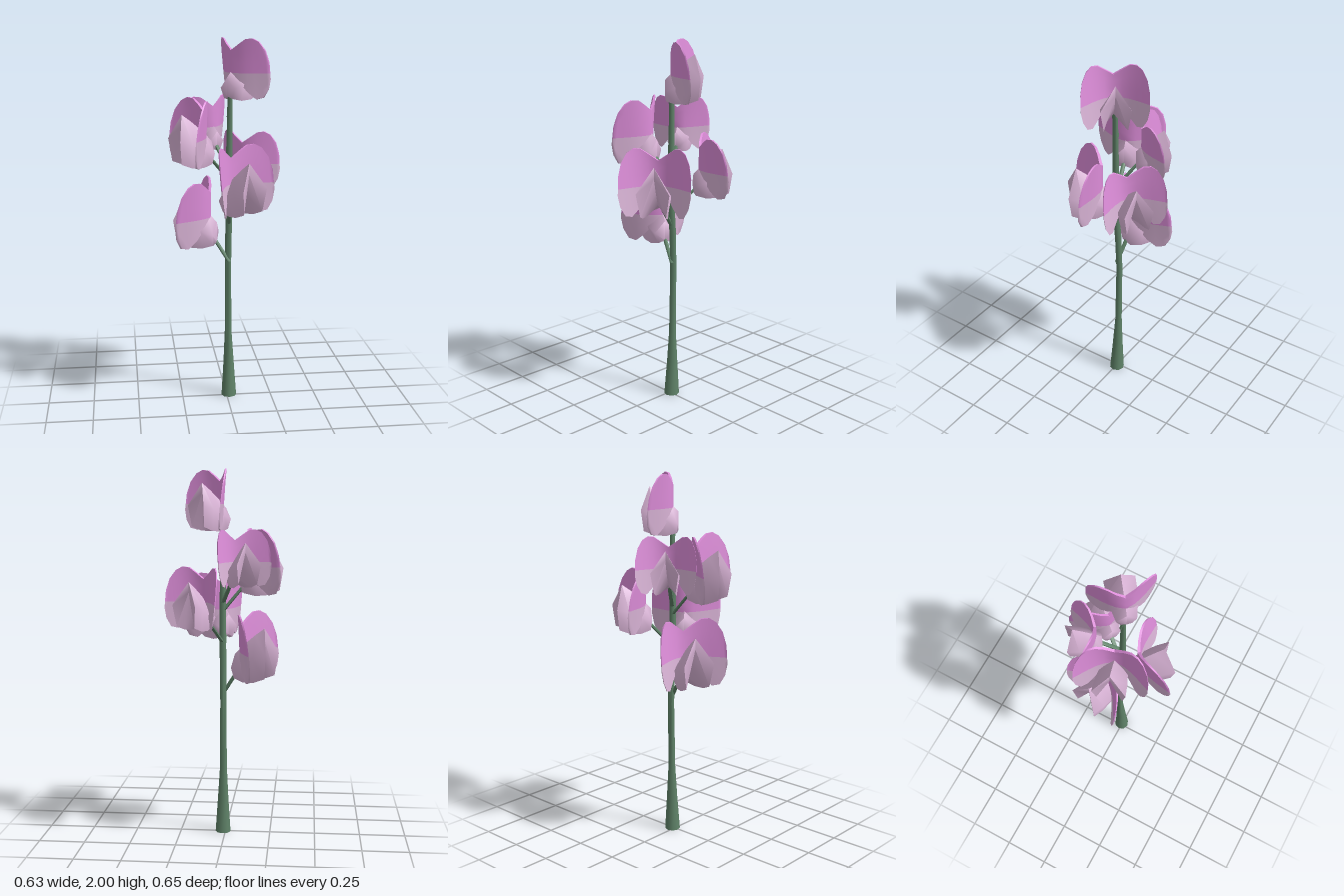
import * as THREE from 'three';
import { toCreasedNormals } from 'three/addons/utils/BufferGeometryUtils.js';

const mat = (name, color) => {
  const m = new THREE.MeshStandardMaterial({ color });
  m.name = name;
  return m;
};

// Skin a series of closed rings, with a fan cap at each end
function loft(rings, crease) {
  const n = rings[0].length, last = (rings.length - 1) * n, index = [];
  for (let r = 0; r < rings.length - 1; r++) {
    for (let i = 0; i < n; i++) {
      const a = r * n + i, b = r * n + (i + 1) % n;
      index.push(a, b, b + n, a, b + n, a + n);
    }
  }
  for (let i = 1; i < n - 1; i++) {
    index.push(0, i + 1, i, last, last + i, last + i + 1);
  }
  const g = new THREE.BufferGeometry();
  g.setAttribute('position', new THREE.Float32BufferAttribute(rings.flat(2), 3));
  g.setIndex(index);
  return toCreasedNormals(g, crease);
}

// Round stalk through [x, y, z, radius] stations
const stalk = (stations, sides = 8) => loft(stations.map(([x, y, z, r]) =>
  Array.from({ length: sides }, (_, i) => {
    const a = i / sides * Math.PI * 2;
    return [x + r * Math.cos(a), y, z - r * Math.sin(a)];
  })), 1.1);

// Upright two-lobed petal: [sideways, bottom, top] columns, mirrored
const BORDER = 0.165;
const half = [[0.05, 0.11, 0.335], [0.09, 0.05, 0.365], [0.125, 0.01, 0.37],
  [0.155, 0.02, 0.35], [0.18, 0.07, 0.3], [0.192, 0.13, 0.23]];
const columns = [...half.map(([x, b, t]) => [-x, b, t]).reverse(), [0, 0.15, 0.3], ...half];

// One colour zone of that petal, as a thin cupped solid
function bannerPart(upper) {
  const rows = 3;
  return loft(columns.map(([x, bottom, top]) => {
    const s = Math.abs(x) / 0.192;
    const thick = 0.016 - 0.008 * s;
    const from = upper ? BORDER : bottom, to = upper ? top : BORDER;
    const front = [], back = [];
    for (let r = 0; r <= rows; r++) {
      const y = from + (to - from) * r / rows;
      const lean = 0.05 * (1 - y / 0.37) * Math.min(1, s * 1.3);
      const z = 0.1 * s ** 1.8 + lean;
      front.unshift([x, y, z + thick / 2]);
      back.push([x, y, z - thick / 2]);
    }
    return [...front, ...back];
  }), 0.9);
}

// Folded lower petals: a ridged hood, open underneath, with two forward tips
// [ridge y, z], [tip x, y, z], [foot x, y, z], inner fold y
const hoodSections = [
  [[0.14, -0.04], [0.058, 0.075, -0.035], [0.034, 0.015, -0.03], 0.03],
  [[0.2, 0.02], [0.074, 0.1, 0.03], [0.054, 0, 0.03], 0.06],
  [[0.25, 0.08], [0.085, 0.135, 0.105], [0.066, 0.005, 0.1], 0.14],
  [[0.29, 0.135], [0.088, 0.155, 0.18], [0.068, 0.03, 0.165], 0.23]
];
const hoodGeometry = () => loft(hoodSections.map(([[ry, rz], [tx, ty, tz], [fx, fy, fz], iy]) => [
  [0, iy, rz], [fx, fy, fz], [tx, ty, tz], [0, ry, rz], [-tx, ty, tz], [-fx, fy, fz]
]), 1.45);

// Blossoms: position of the base, facing direction in x and z, scale
const blossoms = [
  { at: [0.013, 1.08, 0.093], face: [0.61, 0.79], size: 1 },
  { at: [0.026, 1.675, 0.006], face: [0.78, -0.63], size: 0.88 },
  { at: [-0.12, 1.33, 0.026], face: [-0.95, 0.31], size: 0.97 },
  { at: [-0.06, 1.385, -0.115], face: [-0.56, -0.83], size: 0.82 },
  { at: [0.102, 1.16, -0.13], face: [0.57, -0.82], size: 0.9 },
  { at: [-0.09, 0.87, -0.03], face: [-0.93, -0.36], size: 1.01 }
];

export function createModel() {
  const green = mat('stem green', 0x5f8268);
  const pink = mat('petal pink', 0xe08fdc);
  const pale = mat('pale lilac', 0xdcb6d9);
  const model = new THREE.Group();
  model.name = 'flowerStalk';

  const add = (parent, name, geometry, material) => {
    const mesh = new THREE.Mesh(geometry, material);
    mesh.name = name;
    parent.add(mesh);
  };

  // Main stem, flared at the foot
  add(model, 'stem', stalk([
    [0.013, 0, -0.005, 0.042], [0.012, 0.2, -0.01, 0.029], [0.01, 0.38, -0.014, 0.019],
    [0.01, 0.75, -0.02, 0.017], [0.012, 0.95, -0.014, 0.018], [0.014, 1.1, -0.002, 0.018],
    [0.014, 1.4, 0, 0.017], [0.02, 1.76, 0, 0.012]
  ]), green);

  const upper = bannerPart(true), lower = bannerPart(false), hood = hoodGeometry();
  for (const { at: [x, y, z], face: [dx, dz], size } of blossoms) {
    const flower = new THREE.Group();
    flower.name = 'blossom';
    flower.position.set(x, y, z);
    flower.rotation.y = Math.atan2(dx, dz);
    flower.scale.setScalar(size);
    add(flower, 'bannerTop', upper, pink);
    add(flower, 'bannerBase', lower, pale);
    add(flower, 'hood', hood, pale);
    model.add(flower);

    // Side stalk from the stem to the back of the hood
    const end = [x - 0.01 * dx, y + 0.07 * size, z - 0.01 * dz];
    add(model, 'sideStalk', stalk([[0.013, end[1] - 0.15, -0.006, 0.012], [...end, 0.011]], 6), green);
  }
  return model;
}
